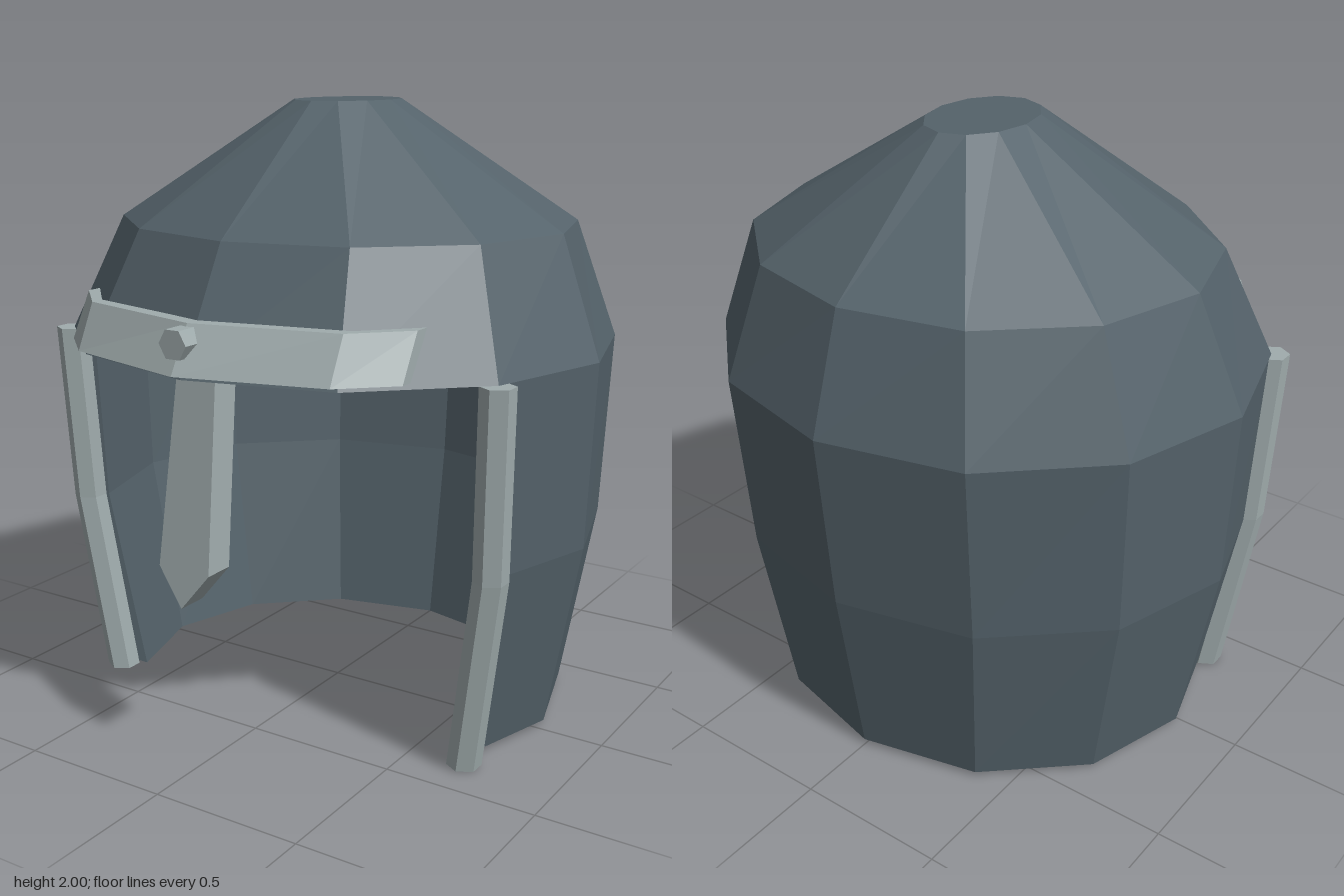
import * as THREE from 'three';

const steel = new THREE.MeshStandardMaterial({ color: 0x54626a, flatShading: true });
const trim = new THREE.MeshStandardMaterial({ color: 0xa0acad, flatShading: true });

// Joins equal closed cross-sections, either in a ring or with a cap at each end.
function loft(sections, ring = false) {
  const m = sections[0].length, n = sections.length, index = [];
  for (let i = 0; i < (ring ? n : n - 1); i++) {
    const a = i * m, b = ((i + 1) % n) * m;
    for (let j = 0; j < m; j++) {
      const k = (j + 1) % m;
      index.push(a + j, b + j, b + k, a + j, b + k, a + k);
    }
  }
  if (!ring) {
    // strip between opposite corners, so bent thin sections cap cleanly
    const e = (n - 1) * m;
    for (let j = 0; j < m / 2 - 1; j++) {
      const p = j, q = j + 1, r = m - 2 - j, s = m - 1 - j;
      index.push(p, q, r, p, r, s, e + p, e + r, e + q, e + p, e + s, e + r);
    }
  }
  const g = new THREE.BufferGeometry();
  g.setAttribute('position', new THREE.Float32BufferAttribute(sections.flat(2), 3));
  g.setIndex(index);
  const flat = g.toNonIndexed();
  flat.computeVertexNormals();
  return flat;
}

// Profile points are [y, x radius, z radius, z centre]; angle 0 is the front.
const STEP = Math.PI / 6;
const around = (profile, from, to) => {
  const out = [];
  for (let k = from; k <= to; k++) {
    const s = Math.sin(k * STEP), c = Math.cos(k * STEP);
    out.push(profile.map(([y, rx, rz, cz]) => [rx * s, y, cz + rz * c]));
  }
  return out;
};

export function createModel() {
  const group = new THREE.Group();
  const add = (name, geometry, material) => {
    const mesh = new THREE.Mesh(geometry, material);
    mesh.name = name;
    group.add(mesh);
    return mesh;
  };

  // Hollow faceted dome
  const dome = [
    [1.24, 0.925, 0.86, -0.02], [1.615, 0.775, 0.695, -0.06], [2, 0.16, 0.217, -0.063],
    [2, 0, 0, -0.063], [1.94, 0, 0, -0.063],
    [1.94, 0.14, 0.19, -0.063], [1.575, 0.715, 0.64, -0.06], [1.228, 0.86, 0.795, -0.02],
  ];
  add('dome', loft(around(dome, 0, 11), true), steel);

  // Wall round the sides and back, open at the front
  const wall = [
    [0.02, 0.785, 0.71, -0.025], [0.64, 0.9, 0.81, -0.02], [1.24, 0.925, 0.86, -0.02],
    [1.24, 0.86, 0.795, -0.02], [0.64, 0.84, 0.75, -0.02], [0, 0.725, 0.65, -0.025],
  ];
  add('neckAndCheekWall', loft(around(wall, 2, 10)), steel);

  // Six-sided rods along the edges of the face opening
  for (const side of [1, -1]) {
    const path = [[0.69, 0.005, 0.352], [0.782, 0.64, 0.388], [0.803, 1.24, 0.417]];
    const sections = path.map(([x, y, z]) => Array.from({ length: 6 }, (_, k) => {
      const t = Math.PI / 6 + k * Math.PI / 3;
      return [side * x + 0.055 * Math.cos(t), y, z + 0.055 * Math.sin(t)];
    }));
    add(side > 0 ? 'leftEdgeTrim' : 'rightEdgeTrim', loft(sections), trim);
  }

  // Brow band: [x, outer bottom z, outer top z, inner top z, inner bottom z]
  const band = [
    [-0.61, 0.62, 0.54, 0.487, 0.565], [-0.46, 0.76, 0.69, 0.645, 0.71],
    [0, 0.88, 0.8, 0.75, 0.82],
    [0.46, 0.76, 0.69, 0.645, 0.71], [0.61, 0.62, 0.54, 0.487, 0.565],
  ].map(([x, a, b, c, d]) => [[x, 1.257, a], [x, 1.4, b], [x, 1.4, c], [x, 1.257, d]]);
  add('browBand', loft(band), trim);

  // Pointed nose guard, leaning forward at the bottom
  const outline = new THREE.Shape([
    [0, 0.545], [0.092, 0.66], [0.07, 1.25], [-0.07, 1.25], [-0.092, 0.66],
  ].map(([x, y]) => new THREE.Vector2(x, y)));
  const nose = new THREE.ExtrudeGeometry(outline, { depth: 0.1, bevelEnabled: false });
  const p = nose.attributes.position;
  for (let i = 0; i < p.count; i++) p.setZ(i, p.getZ(i) + 0.666 + (1.24 - p.getY(i)) * 0.138);
  nose.computeVertexNormals();
  add('noseGuard', nose, trim);

  // Hexagonal bolt on the band
  const bolt = new THREE.CylinderGeometry(0.049, 0.049, 0.11, 6);
  bolt.rotateY(Math.PI / 2).rotateX(Math.PI / 2);
  add('browBolt', bolt, trim).position.set(0, 1.348, 0.815);

  return group;
}
